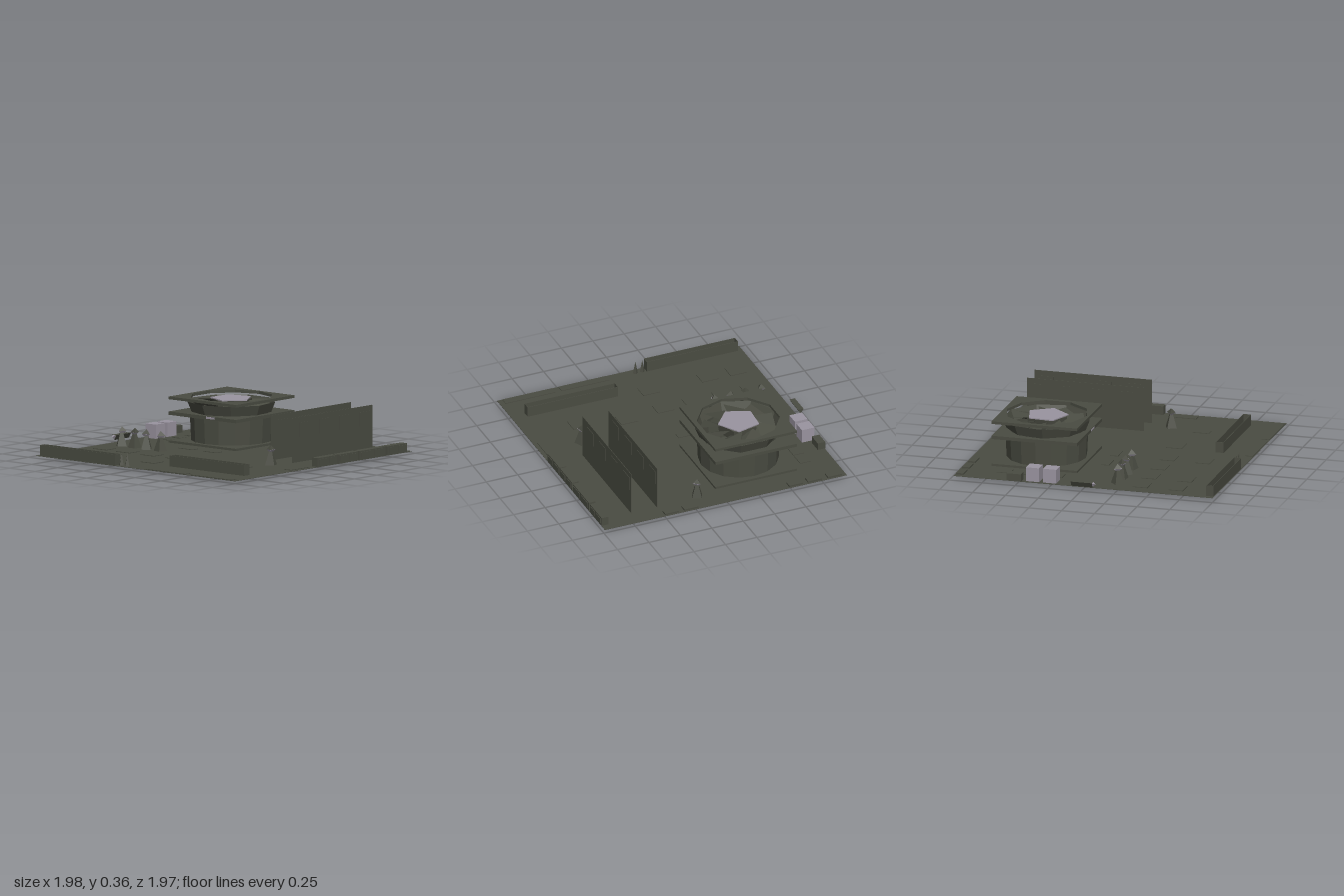
import * as THREE from 'three';

export function createModel() {
  const root = new THREE.Group();
  root.name = 'mainboard';
  const olive = new THREE.MeshStandardMaterial({ color: 0x4a4c42, flatShading: true, side: THREE.DoubleSide });
  olive.name = 'darkOlive';
  const metal = new THREE.MeshStandardMaterial({ color: 0x9a94a0, flatShading: true, side: THREE.DoubleSide });
  metal.name = 'paleMetal';
  const Y = 0.045; // board level

  const add = (name, geo, mat = olive, x = 0, y = 0, z = 0, parent = root) => {
    const m = new THREE.Mesh(geo, mat);
    m.name = name;
    m.position.set(x, y, z);
    parent.add(m);
    return m;
  };
  // box given by its extents
  const box = (name, x0, x1, y0, y1, z0, z1, mat) =>
    add(name, new THREE.BoxGeometry(x1 - x0, y1 - y0, z1 - z0), mat, (x0 + x1) / 2, (y0 + y1) / 2, (z0 + z1) / 2);

  // circuit board
  box('board', -0.94, 0.985, Y - 0.003, Y, -0.985, 0.985);

  // flat chips: x0, x1, z0, z1
  const chips = [
    [-0.385, -0.25, -0.025, 0.035], [-0.15, -0.02, -0.025, 0.035],
    [0.155, 0.29, 0.31, 0.43], [0.57, 0.635, 0.39, 0.515], [0.89, 0.955, 0.12, 0.325],
    [0.12, 0.5, 0.92, 0.98], [0.55, 0.945, 0.92, 0.98],
  ];
  for (const x of [-0.78, -0.555, -0.32, -0.085]) {
    chips.push([x - 0.065, x + 0.065, 0.35, 0.46]);
    if (x !== -0.32) chips.push([x - 0.065, x + 0.065, 0.62, 0.73]);
  }
  for (const z of [-0.655, -0.53, -0.39, -0.26]) chips.push([-0.775, -0.69, z - 0.052, z + 0.052]);
  for (const [x0, x1, z0, z1] of chips) box('chip', x0, x1, Y, Y + 0.005, z0, z1);

  // low headers along the back edge
  for (const x of [-0.85, -0.692, -0.542, 0.292, 0.445])
    box('backHeader', x - 0.055, x + 0.055, Y, Y + 0.012, -0.975, -0.92);

  // connectors along the left edge of the model
  for (const [z0, z1] of [[-0.925, -0.71], [-0.69, -0.4], [-0.385, -0.165], [-0.155, 0.065]]) {
    box('sideConnector', 0.93, 0.985, Y, 0.11, z0, z1);
    const n = 2, w = (z1 - z0) / n;
    for (let i = 0; i < n; i++) box('socketPanel', 0.985, 0.99, 0.06, 0.1, z0 + w * i + 0.015, z0 + w * (i + 1) - 0.015);
  }

  // open-topped expansion slots
  const slot = (x0, x1, z0, z1) => {
    const t = 0.004, y1 = 0.125;
    box('slotFront', x0, x1, Y, y1, z1 - t, z1);
    box('slotBack', x0, x1, Y, y1, z0, z0 + t);
    box('slotEnd', x0, x0 + t, Y, y1, z0, z1);
    box('slotEnd', x1 - t, x1, Y, y1, z0, z1);
  };
  slot(-0.905, -0.18, 0.925, 0.98);
  slot(0.15, 0.87, 0.69, 0.75);

  // memory sticks with chips on both faces
  for (const x of [0.51, 0.715]) {
    box('memoryStick', x - 0.002, x + 0.002, Y, 0.375, -0.85, 0.04);
    for (const z of [-0.1, -0.322, -0.544, -0.766])
      box('memoryChip', x - 0.005, x + 0.005, 0.23, 0.335, z - 0.058, z + 0.058);
  }

  // rear ports
  for (const z of [-0.39, -0.26]) box('metalPort', -0.92, -0.82, Y, 0.15, z - 0.05, z + 0.05, metal);
  box('sidePort', -0.945, -0.885, Y, 0.1, -0.58, -0.47);
  const jack = add('audioJack', new THREE.CylinderGeometry(0.025, 0.025, 0.16, 3), olive, -0.968, 0.08, 0.0);
  jack.rotation.x = Math.PI / 2;
  const jackTip = add('audioJackTip', new THREE.ConeGeometry(0.025, 0.03, 3), metal, -0.968, 0.08, 0.09);
  jackTip.rotation.x = Math.PI / 2;

  // capacitors: tapered stem, metal underside, dark peak
  [[-0.78, 0.215], [-0.655, 0.215], [-0.54, 0.215], [-0.405, 0.215], [0.655, 0.205], [0.18, -0.82]].forEach(([x, z], i) => {
    const g = new THREE.Group();
    g.name = 'capacitor';
    g.position.set(x, 0, z);
    g.rotation.y = i * 0.7;
    root.add(g);
    add('stem', new THREE.CylinderGeometry(0.016, 0.05, 0.1, 4), olive, 0, 0.095, 0, g);
    add('capBase', new THREE.CylinderGeometry(0.036, 0.012, 0.02, 3), metal, 0, 0.147, 0, g);
    add('capPeak', new THREE.ConeGeometry(0.036, 0.035, 3), olive, 0.003, 0.174, 0, g);
  });
  // small front pins
  for (const x of [-0.15, -0.095])
    add('pin', new THREE.ConeGeometry(0.02, 0.095, 4), olive, x, Y + 0.047, 0.94);

  // cooler
  const cooler = new THREE.Group();
  cooler.name = 'cooler';
  cooler.position.set(-0.305, 0, -0.46);
  root.add(cooler);

  // square plate with a round hole
  const plate = (name, y, depth, half, hole, sides) => {
    const s = new THREE.Shape([[-1, -1], [1, -1], [1, 1], [-1, 1]].map(([a, b]) => new THREE.Vector2(a * half, b * half)));
    const pts = [];
    for (let i = 0; i < sides; i++) {
      const a = -(i + 0.5) / sides * Math.PI * 2;
      pts.push(new THREE.Vector2(Math.cos(a) * hole, Math.sin(a) * hole));
    }
    s.holes.push(new THREE.Path(pts));
    const geo = new THREE.ExtrudeGeometry(s, { depth, bevelEnabled: false });
    geo.rotateX(-Math.PI / 2);
    add(name, geo, olive, 0, y, 0, cooler);
  };
  plate('basePlate', 0.028, 0.034, 0.325, 0.27, 12);
  plate('lowerFrame', 0.25, 0.025, 0.325, 0.29, 12);
  plate('upperFrame', 0.365, 0.02, 0.325, 0.305, 10);

  // heat sink drum and its fan shroud
  add('heatSink', new THREE.CylinderGeometry(0.305, 0.295, 0.2, 16, 1, true), olive, 0, 0.155, 0, cooler);
  add('shroud', new THREE.CylinderGeometry(0.325, 0.295, 0.075, 9, 1, true), olive, 0, 0.312, 0, cooler);

  // fan hub
  add('fanHub', new THREE.CylinderGeometry(0.155, 0.14, 0.09, 5), olive, 0, 0.32, 0, cooler);
  add('hubCap', new THREE.CylinderGeometry(0.158, 0.158, 0.008, 5), metal, 0, 0.369, 0, cooler).rotation.y = 0.25;
  // twisted blades
  const blades = 9, step = Math.PI * 2 / blades;
  for (let i = 0; i < blades; i++) {
    const at = (r, a, y) => [Math.cos(a) * r, y, Math.sin(a) * r];
    const a0 = i * step, a1 = a0 + step * 1.05;
    const geo = new THREE.BufferGeometry();
    geo.setAttribute('position', new THREE.Float32BufferAttribute([
      ...at(0.13, a0, 0.355), ...at(0.29, a0 + 0.2, 0.345), ...at(0.29, a1 + 0.2, 0.29), ...at(0.13, a1, 0.31),
    ], 3));
    geo.setIndex([0, 2, 1, 0, 3, 2]);
    geo.computeVertexNormals();
    add('fanBlade', geo, olive, 0, 0, 0, cooler);
  }

  // metal clips on the lower frame
  for (const [x, z, w, d] of [[0.08, 0.325, 0.08, 0.006], [-0.29, 0, 0.02, 0.08], [0.295, -0.06, 0.03, 0.04], [0.13, 0.31, 0.07, 0.02]])
    add('clip', new THREE.BoxGeometry(w, 0.015, d), metal, x, 0.264, z, cooler);

  return root;
}
